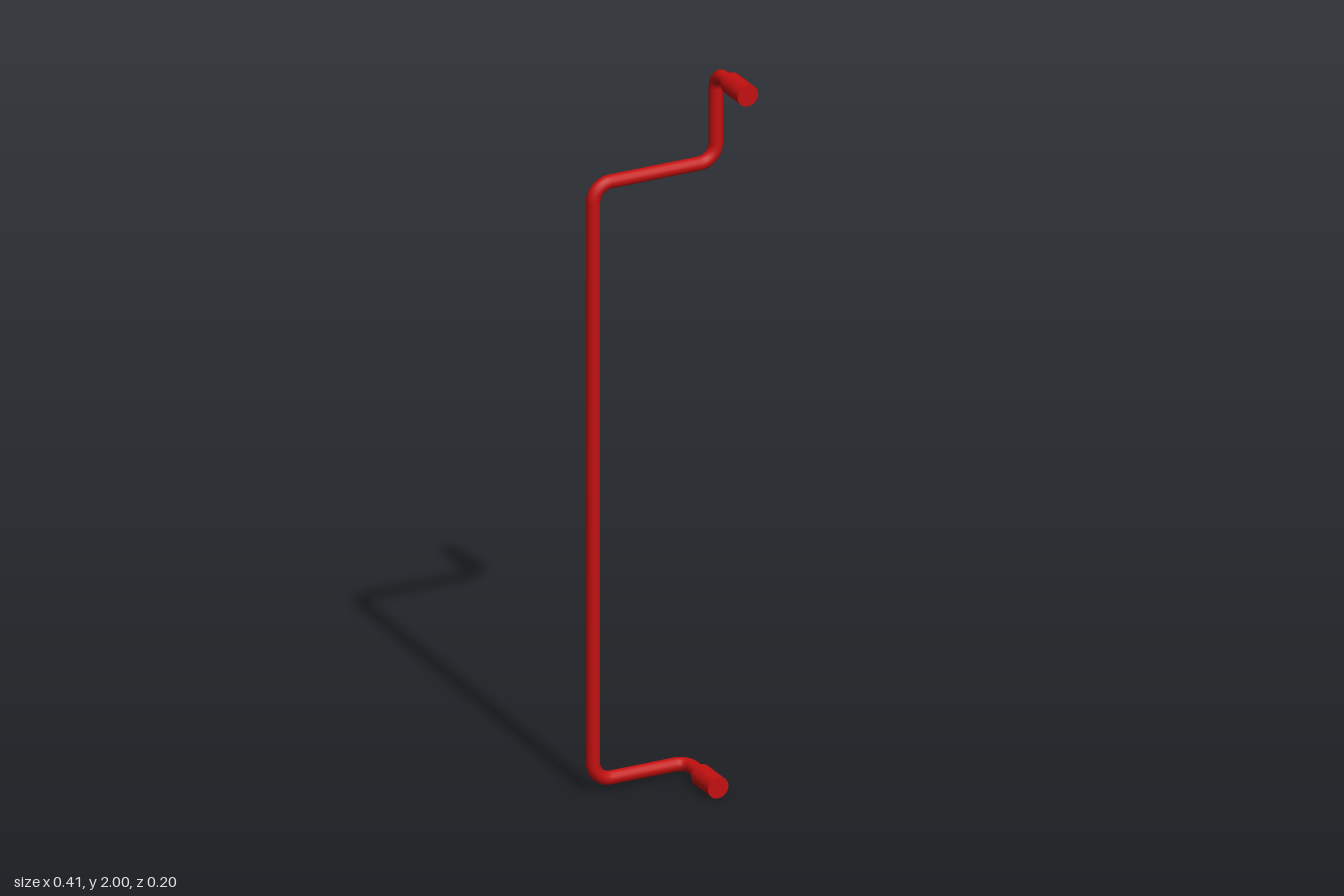
import * as THREE from 'three';

const V = (x, y, z) => new THREE.Vector3(x, y, z);

// Straight runs joined by rounded bends; bends[i] is the setback at inner corner i
function bentPath(points, bends) {
  const path = new THREE.CurvePath();
  let from = points[0];
  for (let i = 1; i < points.length - 1; i++) {
    const corner = points[i];
    const toward = (p) => corner.clone().add(p.clone().sub(corner).setLength(bends[i - 1]));
    const start = toward(points[i - 1]);
    const end = toward(points[i + 1]);
    // Cubic handles at 0.55 approximate a circular bend
    path.add(new THREE.LineCurve3(from, start));
    path.add(new THREE.CubicBezierCurve3(start,
      start.clone().lerp(corner, 0.55), end.clone().lerp(corner, 0.55), end));
    from = end;
  }
  path.add(new THREE.LineCurve3(from, points[points.length - 1]));
  return path;
}

export function createModel() {
  const group = new THREE.Group();
  const red = new THREE.MeshStandardMaterial({ color: 0xc41010 });

  const back = -0.082, leftX = 0.174, rightX = -0.186, lowerX = 0.087;
  const topY = 1.97, stepY = 1.72, lowY = 0.034;

  // Bent pipe from the upper fitting to the lower one
  const path = bentPath([
    V(leftX, topY, 0.02), V(leftX, topY, back), V(leftX, stepY, back),
    V(rightX, stepY, back), V(rightX, lowY, back),
    V(lowerX, lowY, back), V(lowerX, lowY, 0.02),
  ], [0.045, 0.05, 0.05, 0.05, 0.035]);
  const pipe = new THREE.Mesh(new THREE.TubeGeometry(path, 400, 0.019, 14, false), red);
  pipe.name = 'pipe';
  group.add(pipe);

  // Wider end fittings facing forward
  for (const [name, x, y] of [['upperFitting', leftX, topY], ['lowerFitting', lowerX, 0.03]]) {
    const fitting = new THREE.Mesh(new THREE.CylinderGeometry(0.03, 0.03, 0.097, 24), red);
    fitting.name = name;
    fitting.rotation.x = Math.PI / 2;
    fitting.position.set(x, y, 0.0515);
    group.add(fitting);
  }
  return group;
}
